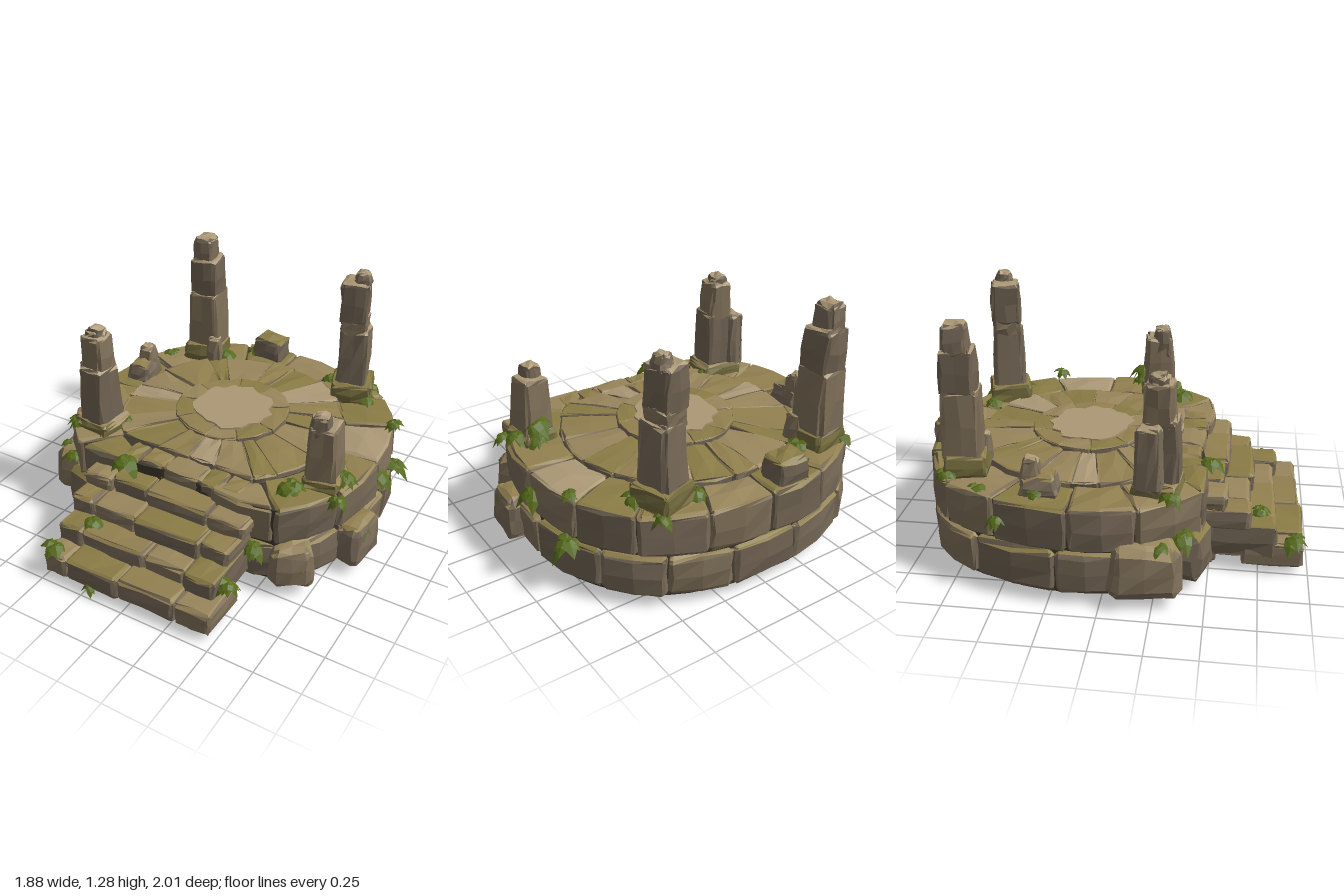
import * as THREE from 'three';
import { mergeGeometries } from 'three/addons/utils/BufferGeometryUtils.js';

const mat = (color, extra = {}) => new THREE.MeshStandardMaterial({ color, flatShading: true, ...extra });
const SIDES = [mat(0x786a58), mat(0x7f7059), mat(0x706352)];
const TOPS = [mat(0x92804f), mat(0x99865c), mat(0x8a7c46)];
const PALE = mat(0xab9876), MOSS = mat(0x726a3c), DARK = mat(0x3d372b);
const LEAF = mat(0x566a1a, { side: THREE.DoubleSide });

// Repeatable noise in -1..1
const hash = (a, b = 0, c = 0, s = 0) => {
  const n = Math.sin(a * 12.99 + b * 78.23 + c * 37.72 + s * 4.71 + 1.3) * 43758.55;
  return (n - Math.floor(n)) * 2 - 1;
};
const lerp = THREE.MathUtils.lerp;
let seed = 1;

// Platform centre and its uneven outline, sampled every 22.5 degrees from the front towards +x
const CX = -0.035, CZ = -0.17;
const OUT = [0.6, 0.69, 0.88, 0.89, 0.88, 0.9, 0.9, 0.85, 0.815, 0.855, 0.9, 0.86, 0.86, 0.88, 0.88, 0.7];
function outline(a) {
  const t = (((a / (Math.PI * 2)) % 1) + 1) % 1 * 16, i = Math.floor(t);
  return lerp(OUT[i], OUT[(i + 1) % 16], t - i);
}

// Chamfered, chipped block; place() maps the unit cube (-0.5..0.5) to its final shape
function block(size, bevel, rough, place, side, top) {
  const s = seed++, g = new THREE.BoxGeometry(1, 1, 1, 4, 4, 4).toNonIndexed(), p = g.attributes.position;
  const v = new THREE.Vector3();
  for (let i = 0; i < p.count; i++) {
    const q = [p.getX(i), p.getY(i), p.getZ(i)], k = q.map(c => Math.round(c * 4));
    const ext = k.filter(c => Math.abs(c) === 2).length, zeros = k.filter(c => c === 0).length;
    // edges and corners are cut back, face centres bulge slightly
    const inset = zeros === 2 ? -0.35 : [0, 0, 0.4, 0.6][ext];
    const r = q.map((c, j) => {
      const b = Math.min(bevel / size[j], 0.3), a = Math.abs(k[j]);
      return Math.sign(c) * (a === 2 ? 0.5 - b * inset : a === 1 ? 0.5 - b : 0)
        + hash(k[0] + j * 9, k[1], k[2], s) * rough / size[j];
    });
    place(v.set(...r));
    p.setXYZ(i, v.x, v.y, v.z);
  }
  return paint(g, side ?? SIDES[s % 3], top ?? TOPS[(s * 7) % 3]);
}

// Sort triangles so that upward faces get the mossy material
function paint(g, side, top) {
  const p = g.attributes.position, up = [], rest = [], t = new THREE.Triangle(), n = new THREE.Vector3();
  for (let i = 0; i < p.count; i += 3) {
    t.setFromAttributeAndIndices(p, i, i + 1, i + 2).getNormal(n);
    (n.y > 0.6 ? up : rest).push(...t.a, ...t.b, ...t.c);
  }
  const out = new THREE.BufferGeometry();
  out.setAttribute('position', new THREE.Float32BufferAttribute(rest.concat(up), 3));
  out.addGroup(0, rest.length / 3, 0);
  out.addGroup(rest.length / 3, up.length / 3, 1);
  out.computeVertexNormals();
  return new THREE.Mesh(out, [side, top]);
}

// Box-like stone between two heights, optionally tapered and turned
function rock(x, z, w, d, y0, y1, { turn = 0, taper = 1, bevel = 0.02, rough = 0.01, side, top } = {}) {
  const h = y1 - y0, c = Math.cos(turn), s = Math.sin(turn);
  return block([w, h, d], bevel, rough, v => {
    const k = lerp(1, taper, v.y + 0.5), px = v.x * w * k, pz = v.z * d * k;
    v.set(x + px * c + pz * s, y0 + (v.y + 0.5) * h, z - px * s + pz * c);
  }, side, top);
}

// Ring of curved stones; outer radius depends on the angle, top height on the way outwards
function ring(name, count, r0, r1, y0, topY, { bevel = 0.025, rough = 0.008, wobble = 0.18, pick, skip } = {}) {
  const group = new THREE.Group(), s0 = seed, step = Math.PI * 2 / count;
  group.name = name;
  const edge = i => (i + hash(i % count, s0) * wobble) * step;
  for (let i = 0; i < count; i++) {
    if (skip?.(i)) continue;
    const a0 = edge(i), a1 = edge(i + 1), mid = (a0 + a1) / 2, bump = hash(i, 3, s0);
    const size = [(a1 - a0) * r1(mid), topY(0.5, 0) - y0, r1(mid) - r0];
    const m = block(size, bevel, rough, v => {
      const t = v.z + 0.5, a = lerp(a0, a1, v.x + 0.5), r = lerp(r0, r1(a) + bump * 0.008, t);
      v.set(CX + r * Math.sin(a), lerp(y0, topY(t, bump), v.y + 0.5), CZ + r * Math.cos(a));
    }, undefined, pick?.(i));
    m.name = name + 'Stone';
    group.add(m);
  }
  return group;
}

// Fan of folded, drooping leaves
function leaves(x, y, z, size, count = 9) {
  const parts = [], s = seed++;
  for (let i = 0; i < count; i++) {
    const g = new THREE.PlaneGeometry(1, 1, 2, 3), p = g.attributes.position;
    const a = (i + hash(i, s) * 0.4) / count * Math.PI * 2, len = size * (0.85 + 0.3 * hash(i, s, 2));
    const lift = 0.4 + 0.5 * hash(i, s, 5);
    for (let j = 0; j < p.count; j++) {
      const t = 0.5 - p.getY(j), u = p.getX(j);
      const w = u * len * 0.85 * [0.15, 1, 0.75, 0][Math.round(t * 3)];
      const y1 = len * (lift * t - 1.3 * t * t) - Math.abs(w) * 0.35;
      p.setXYZ(j, t * len * Math.sin(a) + w * Math.cos(a), y1, t * len * Math.cos(a) - w * Math.sin(a));
    }
    g.computeVertexNormals();
    parts.push(g);
  }
  const m = new THREE.Mesh(mergeGeometries(parts), LEAF);
  m.position.set(x, y, z);
  m.name = 'leafCluster';
  return m;
}

export function createModel() {
  seed = 1;
  const model = new THREE.Group();
  model.name = 'ruinedStonePlatform';
  const add = (name, ...meshes) => {
    const g = new THREE.Group();
    g.name = name;
    g.add(...meshes);
    model.add(g);
  };

  // Solid core behind the joints, with a flat underside
  const core = new THREE.CylinderGeometry(1, 1, 0.44, 48), cp = core.attributes.position;
  for (let i = 0; i < cp.count; i++) {
    const x = cp.getX(i), z = cp.getZ(i), r = outline(Math.atan2(x, z)) - 0.02;
    cp.setXYZ(i, CX + x * r, cp.getY(i) + 0.255, CZ + z * r);
  }
  add('core', new THREE.Mesh(core, DARK));

  // Two tiers of wall stones; the stairs replace the upper stones at the front
  model.add(ring('lowerTier', 15, 0.5, a => outline(a) + 0.01, 0.045, (t, b) => 0.262 + b * 0.006,
    { bevel: 0.025, rough: 0.007 }));
  model.add(ring('upperTier', 16, 0.61, outline, 0.265, (t, b) => 0.49 + b * 0.008,
    { bevel: 0.022, rough: 0.007, wobble: 0.12, pick: i => (i === 4 ? PALE : undefined), skip: i => i === 0 || i === 15 }));

  // Paving: radial slabs cut straight by the stairs, inner ring and worn centre
  model.add(ring('pavingSlabs', 19, 0.3, a => Math.min(0.615, 0.48 / Math.max(Math.cos(a), 0.1)), 0.42,
    (t, b) => lerp(0.527, 0.51, t) + b * 0.01,
    { bevel: 0.01, rough: 0.007, wobble: 0.28, pick: i => (i % 7 === 0 ? PALE : undefined) }));
  model.add(ring('innerRing', 9, 0.19, () => 0.315, 0.45, (t, b) => 0.55 + b * 0.003, { bevel: 0.008, rough: 0.003 }));
  const disc = new THREE.CylinderGeometry(1, 1, 0.1, 26), dp = disc.attributes.position;
  for (let i = 0; i < dp.count; i++) {
    const x = dp.getX(i), z = dp.getZ(i), a = Math.round((Math.atan2(x, z) / Math.PI / 2 + 1) * 26) % 26;
    const r = 0.215 + 0.022 * hash(a, 8);
    dp.setXYZ(i, CX + x * r, dp.getY(i) + 0.509, CZ + z * r);
  }
  add('centreDisc', new THREE.Mesh(disc, PALE));

  // Stairs: [front z, back z, bottom, top, joints in x]
  const rows = [
    [0.965, 0.66, 0.02, 0.15, [-0.5, -0.36, -0.05, 0.28, 0.48]],
    [0.83, 0.4, 0.07, 0.24, [-0.5, -0.36, 0.02, 0.26, 0.44]],
    [0.7, 0.3, 0.22, 0.33, [-0.51, -0.37, -0.11, 0.27, 0.43]],
    [0.57, 0.3, 0.32, 0.42, [-0.51, -0.34, -0.12, 0.24, 0.45]],
    [0.45, 0.29, 0.4, 0.49, [-0.36, -0.25, -0.1, 0.12, 0.24, 0.36]],
  ];
  rows.forEach(([zf, zb, y0, y1, xs], i) => add('stairStep', ...xs.slice(1).map((x1, j) => {
    const x0 = xs[j], f = zf + hash(i, j, 4) * 0.015;
    return rock((x0 + x1) / 2, (f + zb) / 2, x1 - x0, f - zb, y0, y1 + hash(i, j, 6) * 0.008, { bevel: 0.018, rough: 0.006 });
  })));

  // Boulders around the foot of the wall
  add('boulders',
    rock(-0.76, 0.2, 0.34, 0.38, 0.04, 0.31, { taper: 0.8, bevel: 0.05, turn: 0.15 }),
    rock(-0.6, 0.4, 0.26, 0.2, 0.04, 0.29, { taper: 0.85, bevel: 0.04, turn: -0.2 }),
    rock(0.83, 0.04, 0.19, 0.28, 0.04, 0.27, { taper: 0.8, bevel: 0.04, turn: -0.1 }),
    rock(0.62, 0.37, 0.24, 0.24, 0.04, 0.27, { taper: 0.8, bevel: 0.04, turn: 0.5 }),
    rock(-0.43, 0.41, 0.15, 0.24, 0.02, 0.28));

  // Broken pillars, stone by stone: [x, z, width, depth, bottom, top, turn, taper]
  const pillars = {
    backLeftPillar: [[-0.53, -0.72, 0.24, 0.23, 0.48, 0.6, 0.15, 0.88], [-0.525, -0.73, 0.19, 0.2, 0.57, 0.93, 0.1, 0.9],
      [-0.525, -0.735, 0.165, 0.17, 0.9, 1.14, 0.1, 0.95], [-0.54, -0.735, 0.125, 0.13, 1.1, 1.26, 0.1, 0.88],
      [-0.44, -0.66, 0.1, 0.1, 0.48, 0.66, 0.3, 0.75]],
    backRightPillar: [[0.44, -0.74, 0.24, 0.24, 0.48, 0.6, 0.3, 0.92], [0.435, -0.74, 0.175, 0.18, 0.58, 0.93, 0.25, 0.9],
      [0.425, -0.74, 0.14, 0.15, 0.88, 1.0, 0.25, 1.05], [0.42, -0.74, 0.15, 0.16, 0.96, 1.2, 0.25, 1],
      [0.45, -0.75, 0.1, 0.1, 1.17, 1.26, 0.25, 0.65]],
    frontLeftPillar: [[-0.62, 0.25, 0.24, 0.23, 0.48, 0.56, -0.15, 0.92], [-0.61, 0.265, 0.16, 0.18, 0.54, 0.87, -0.1, 0.92],
      [-0.7, 0.21, 0.1, 0.14, 0.52, 0.85, -0.1, 0.85], [-0.615, 0.255, 0.14, 0.145, 0.82, 1.05, -0.1, 0.92],
      [-0.62, 0.25, 0.11, 0.11, 1.0, 1.085, -0.1, 0.75]],
    frontRightPillar: [[0.67, 0.12, 0.2, 0.21, 0.48, 0.56, 0.15, 0.9], [0.665, 0.125, 0.17, 0.18, 0.54, 0.84, 0.15, 0.82],
      [0.645, 0.145, 0.12, 0.12, 0.72, 0.9, 0.15, 0.7]],
    leftStump: [[-0.72, -0.31, 0.15, 0.2, 0.48, 0.59, 0.1, 0.75], [-0.72, -0.35, 0.11, 0.11, 0.52, 0.67, 0.1, 0.65]],
    backSlab: [[-0.17, -0.9, 0.19, 0.16, 0.48, 0.62, -0.05, 0.9]],
  };
  for (const [name, stones] of Object.entries(pillars)) {
    add(name, ...stones.map(([x, z, w, d, y0, y1, turn, taper], i) => rock(x, z, w, d, y0, y1, {
      turn, taper, rough: 0.008, side: i === 0 && stones.length > 2 ? MOSS : undefined, top: i ? PALE : undefined,
    })));
  }

  // Foliage: [x, y, z, leaf size]
  add('foliage', ...[
    [-0.74, 0.33, 0.38, 0.08], [-0.46, 0.18, 0.92, 0.08], [-0.34, 0.27, 0.75, 0.07], [-0.3, 0.51, 0.48, 0.08],
    [0.47, 0.22, 0.75, 0.08], [0.47, 0.27, 0.5, 0.07], [0.55, 0.53, 0.27, 0.08], [0.76, 0.56, 0.1, 0.08],
    [0.68, 0.64, 0.04, 0.09], [0.69, 0.56, 0.02, 0.08], [0.79, 0.5, 0.22, 0.06], [0.83, 0.42, -0.2, 0.09],
    [0.82, 0.28, -0.5, 0.09], [0.8, 0.54, -0.5, 0.06], [0.29, 0.53, -0.8, 0.07], [0.55, 0.53, -0.68, 0.07],
    [0.52, 0.51, -0.86, 0.06], [-0.4, 0.53, -0.74, 0.08], [-0.64, 0.53, -0.8, 0.07], [-0.72, 0.5, -0.62, 0.07],
    [-0.27, 0.52, -0.88, 0.06], [-0.78, 0.53, -0.32, 0.06], [-0.73, 0.53, 0.33, 0.07], [-0.5, 0.53, 0.2, 0.06],
    [-0.84, 0.31, 0.28, 0.06], [0.86, 0.26, 0.06, 0.07], [0.7, 0.19, 0.42, 0.06], [-0.22, 0.05, 0.96, 0.045],
    [-0.82, 0.4, -0.5, 0.07],
  ].map(l => leaves(...l)));

  return model;
}
